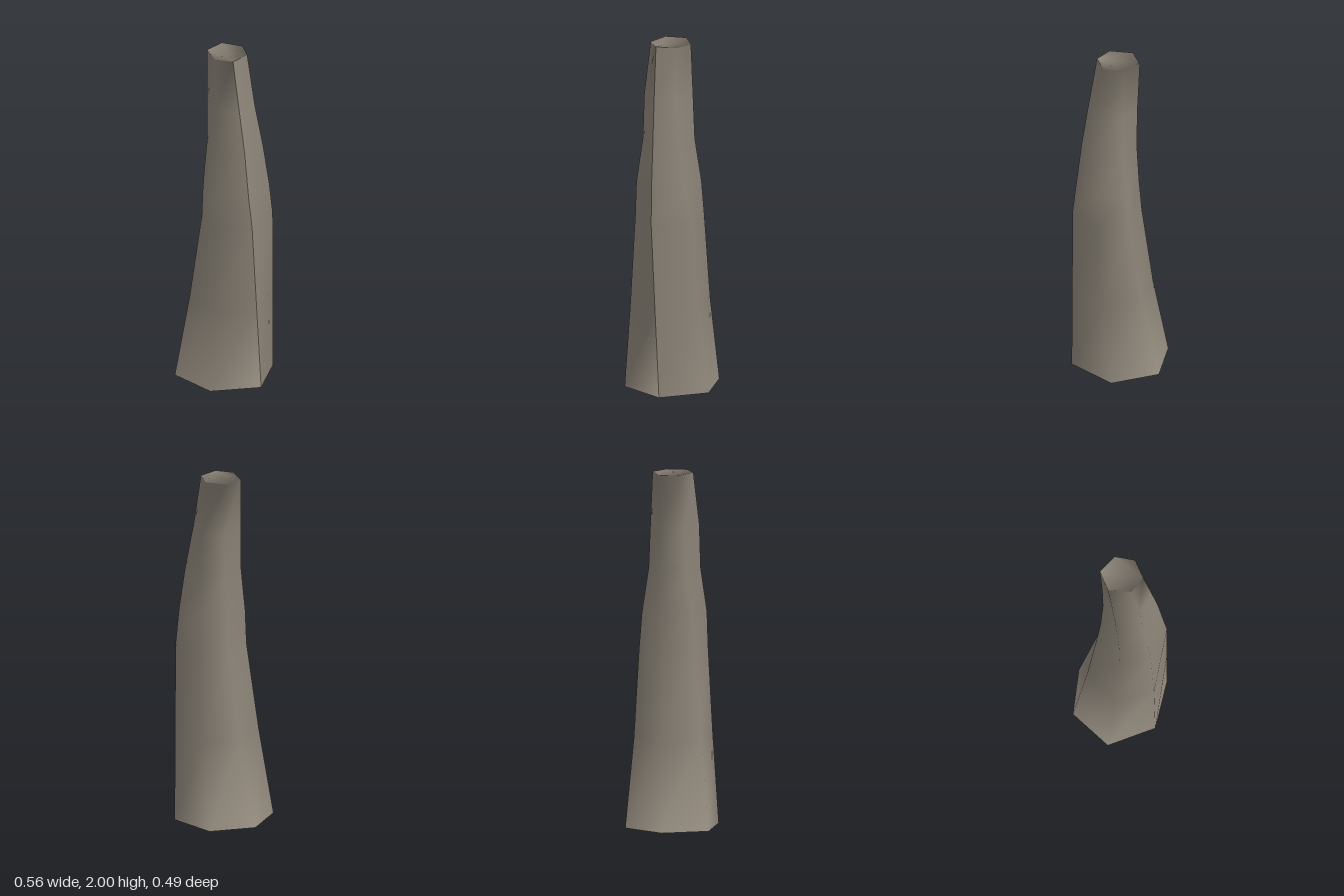
import * as THREE from 'three';

// Six-sided cross-sections, bottom to top: height, then the x, z corners
const RINGS = [
  [0.0, [[0.28, 0], [0.12, 0.24], [-0.165, 0.243], [-0.283, 0], [-0.16, -0.235], [0.12, -0.245]]],
  [0.5, [[0.27, 0.025], [0.125, 0.205], [-0.1, 0.19], [-0.185, -0.03], [-0.07, -0.205], [0.165, -0.2]]],
  [1.0, [[0.26, 0.05], [0.115, 0.18], [-0.055, 0.14], [-0.115, -0.05], [0, -0.19], [0.19, -0.175]]],
  [1.2, [[0.235, 0.055], [0.1, 0.177], [-0.055, 0.13], [-0.1, -0.045], [0.005, -0.175], [0.205, -0.135]]],
  [1.45, [[0.205, 0.055], [0.08, 0.145], [-0.06, 0.095], [-0.085, -0.05], [0.02, -0.14], [0.19, -0.1]]],
  [1.7, [[0.165, 0.058], [0.06, 0.142], [-0.075, 0.08], [-0.088, -0.055], [0.02, -0.13], [0.155, -0.07]]],
  [2.0, [[0.115, 0.06], [0.025, 0.115], [-0.095, 0.06], [-0.1, -0.06], [0.01, -0.115], [0.11, -0.055]]],
];

function trunkGeometry() {
  const sides = 6, cols = sides + 1;
  const positions = [], index = [];

  // The first corner is repeated in each ring, leaving one sharp seam up the side
  for (const [y, corners] of RINGS) {
    for (let j = 0; j < cols; j++) {
      const [x, z] = corners[j % sides];
      positions.push(x, y, z);
    }
  }

  // Smooth bark walls
  for (let i = 0; i < RINGS.length - 1; i++) {
    for (let j = 0; j < sides; j++) {
      const a = i * cols + j, up = a + cols;
      index.push(a, up, a + 1, a + 1, up, up + 1);
    }
  }

  // End faces share the rim corners and face inward, so they shade as shallow hollows
  const top = (RINGS.length - 1) * cols;
  for (let j = 1; j < sides - 1; j++) {
    index.push(0, j + 1, j);
    index.push(top, top + j, top + j + 1);
  }

  const geometry = new THREE.BufferGeometry();
  geometry.setAttribute('position', new THREE.Float32BufferAttribute(positions, 3));
  geometry.setIndex(index);
  geometry.computeVertexNormals();
  return geometry;
}

export function createModel() {
  const model = new THREE.Group();
  model.name = 'bentTrunk';

  const bark = new THREE.MeshStandardMaterial({ color: 0x8c8478, side: THREE.DoubleSide });
  bark.name = 'greyBrownBark';

  const trunk = new THREE.Mesh(trunkGeometry(), bark);
  trunk.name = 'trunk';
  model.add(trunk);
  return model;
}
